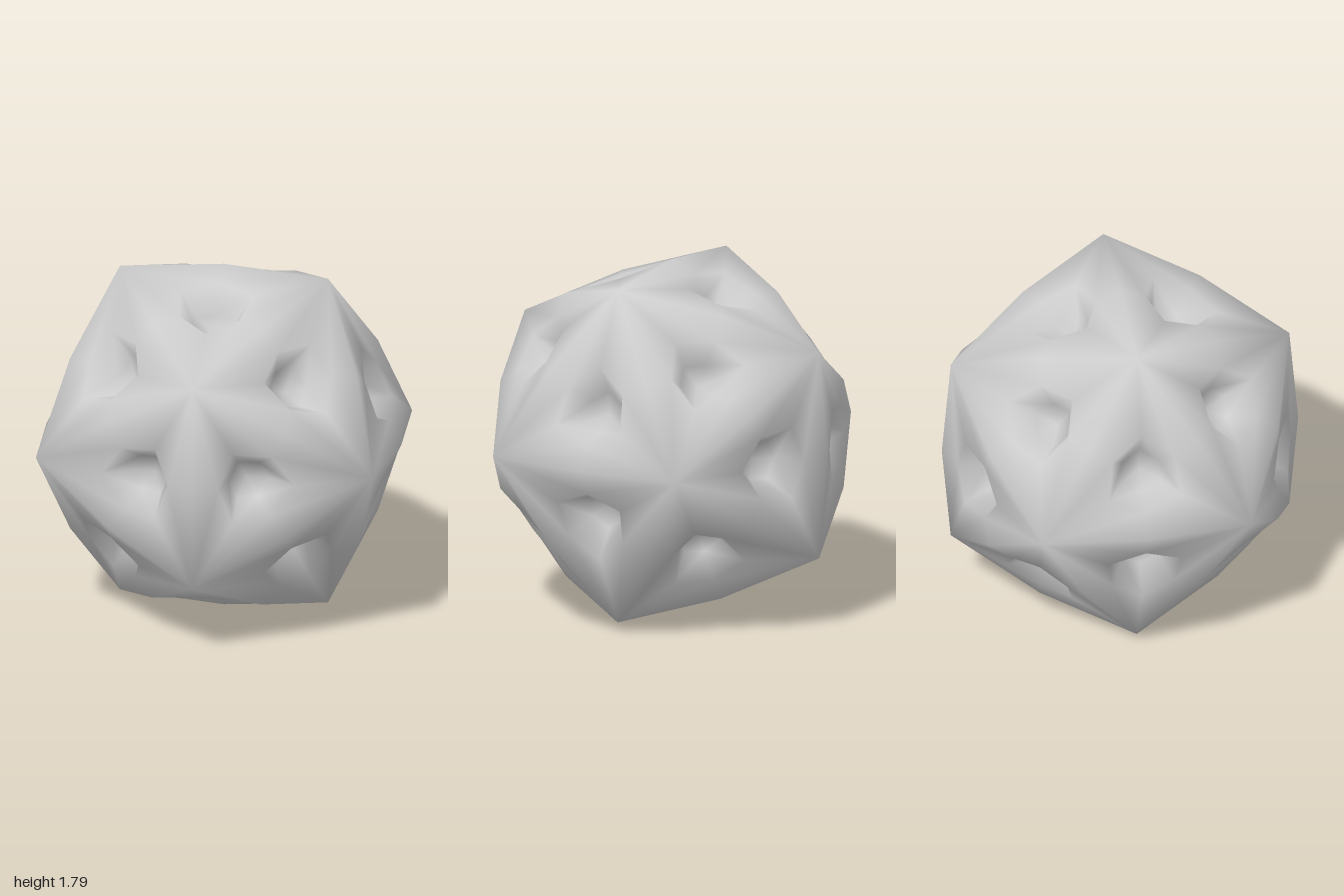
import * as THREE from 'three';
import { mergeVertices } from 'three/addons/utils/BufferGeometryUtils.js';

const CENTRE_Y = 0.895;   // half the height of the standing body
const EDGE_MID = 0.895;   // distance of the raised edge midpoints from the centre

// Dimple rings: [radius towards corners, radius towards edges, height along the face normal]
const RINGS = [
  [0.21, 0.18, 0.825],
  [0.11, 0.10, 0.69],
];
const PIT_HEIGHT = 0.645;

// Twelve corners of an icosahedron with its poles on the z axis
function makeCorners() {
  const ring = (offset, z) => Array.from({ length: 5 }, (_, k) => {
    const a = (k * 72 + offset) * Math.PI / 180;
    return new THREE.Vector3(0.894 * Math.cos(a), 0.894 * Math.sin(a), z);
  });
  return {
    front: new THREE.Vector3(0, 0, 1),
    back: new THREE.Vector3(0, 0, -1),
    f: ring(0, 0.447),
    b: ring(36, -0.447),
  };
}

// Twenty triangles, each wound to face outwards
function makeFaces() {
  const { front, back, f, b } = makeCorners();
  const faces = [];
  for (let k = 0; k < 5; k++) {
    const n = (k + 1) % 5;
    faces.push([front, f[k], f[n]], [f[k], b[k], f[n]], [b[k], b[n], f[n]], [back, b[n], b[k]]);
  }
  return faces.map(([p, q, r]) => {
    const normal = q.clone().sub(p).cross(r.clone().sub(p));
    return normal.dot(p) > 0 ? [p, q, r] : [p, r, q];
  });
}

// One face: six rays (corner, edge, corner...) running inwards to a sunken pit
function addDimpledFace(corners, out) {
  const normal = new THREE.Vector3();
  corners.forEach((c) => normal.add(c));
  normal.normalize();

  const outer = [];
  corners.forEach((c, i) => {
    outer.push(c, c.clone().add(corners[(i + 1) % 3]).setLength(EDGE_MID));
  });
  const loops = [outer];
  for (const [cornerR, edgeR, h] of RINGS) {
    loops.push(outer.map((p, i) => p.clone().projectOnPlane(normal)
      .setLength(i % 2 ? edgeR : cornerR).addScaledVector(normal, h)));
  }
  const pit = normal.clone().multiplyScalar(PIT_HEIGHT);

  const tri = (...pts) => pts.forEach((p) => out.push(p.x, p.y, p.z));
  for (let i = 0; i < 6; i++) {
    const j = (i + 1) % 6;
    for (let k = 0; k < loops.length - 1; k++) {
      const a = loops[k], b = loops[k + 1];
      // Diagonals mirror from ray to ray so that the dimple stays symmetric
      if (i % 2) {
        tri(a[i], a[j], b[i]);
        tri(a[j], b[j], b[i]);
      } else {
        tri(a[i], a[j], b[j]);
        tri(a[i], b[j], b[i]);
      }
    }
    const last = loops[loops.length - 1];
    tri(last[i], last[j], pit);
  }
}

export function createModel() {
  const positions = [];
  makeFaces().forEach((face) => addDimpledFace(face, positions));

  // Shared vertices give smooth shading over ridges and dimples
  let geometry = new THREE.BufferGeometry();
  geometry.setAttribute('position', new THREE.Float32BufferAttribute(positions, 3));
  geometry = mergeVertices(geometry, 1e-4);
  geometry.computeVertexNormals();

  const body = new THREE.Mesh(geometry, new THREE.MeshStandardMaterial({ color: 0xcccccc }));
  body.name = 'dimpledIcosahedron';
  body.position.y = CENTRE_Y;

  const group = new THREE.Group();
  group.name = 'dimpledBall';
  group.add(body);
  return group;
}
